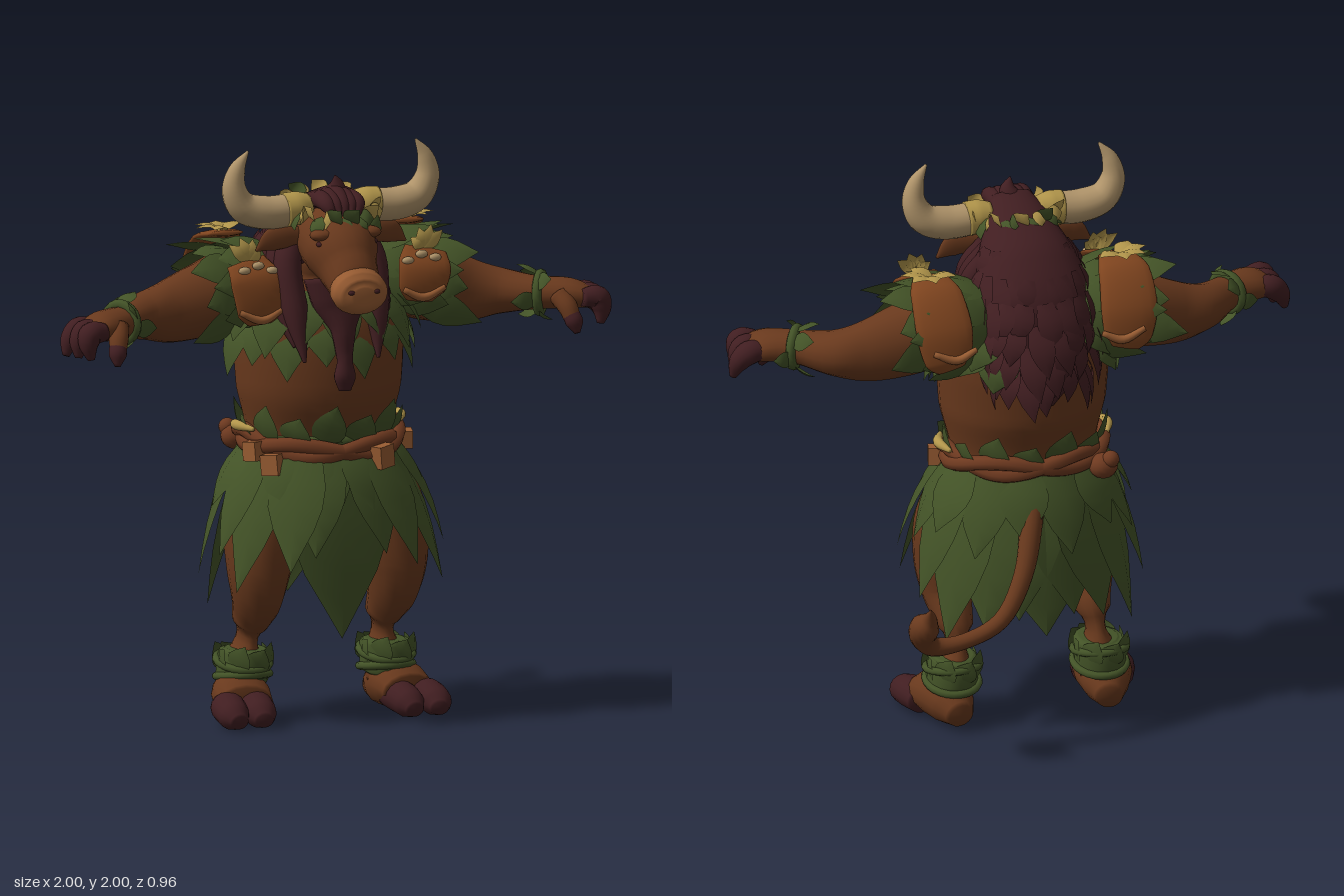
import * as THREE from 'three';
import { mergeGeometries } from 'three/addons/utils/BufferGeometryUtils.js';

const V = (x, y, z) => new THREE.Vector3(x, y, z);
const X = V(1, 0, 0), Y = V(0, 1, 0), Z = V(0, 0, 1);
const rad = THREE.MathUtils.degToRad;
const paint = (name, color, side = THREE.FrontSide) => {
  const m = new THREE.MeshStandardMaterial({ color, side });
  m.name = name;
  return m;
};

function geometry(points, index) {
  const g = new THREE.BufferGeometry().setFromPoints(points);
  g.setIndex(index);
  g.computeVertexNormals();
  return g;
}

// Smooth capped tube through [x, y, z, a, b]; a and b are the half sizes of each cross-section
function loft(pts, ref = Z, { steps = 5, sides = 16, floor = -9 } = {}) {
  const path = new THREE.CatmullRomCurve3(pts.map(p => V(p[0], p[1], p[2])));
  const size = new THREE.CatmullRomCurve3(pts.map(p => V(p[3], p[4] ?? p[3], 0)));
  const n = (pts.length - 1) * steps, out = [], index = [];
  for (let i = 0; i <= n; i++) {
    const c = path.getPoint(i / n), r = size.getPoint(i / n), t = path.getTangent(i / n);
    const s = t.clone().cross(ref).normalize(), u = t.clone().cross(s);
    for (let j = 0; j < sides; j++) {
      const k = j / sides * Math.PI * 2;
      const p = c.clone().addScaledVector(s, Math.cos(k) * r.x).addScaledVector(u, Math.sin(k) * r.y);
      p.y = Math.max(p.y, floor);
      out.push(p);
      if (i < n) {
        const a = i * sides + j, b = i * sides + (j + 1) % sides;
        index.push(a, b, a + sides, b, b + sides, a + sides);
      }
    }
  }
  out.push(path.getPoint(0), path.getPoint(1));
  for (let j = 0; j < sides; j++) {
    const k = (j + 1) % sides, e = n * sides;
    index.push(out.length - 2, k, j, out.length - 1, e + j, e + k);
  }
  return geometry(out, index);
}

// Pointed, ridged sheet from base to tip, bulging along the outward direction
function leaf(base, tip, half, outward, bulge = 0.02) {
  const d = tip.clone().sub(base), s = d.clone().cross(outward).normalize();
  const n = s.clone().cross(d).normalize(), out = [], index = [];
  [0.6, 0.85, 1, 0.95, 0.72, 0.36, 0].forEach((w, i) => {
    const t = i / 6, c = base.clone().addScaledVector(d, t).addScaledVector(n, bulge * Math.sin(t * Math.PI));
    for (const k of [-1, 0, 1]) {
      out.push(c.clone().addScaledVector(s, k * w * half).addScaledVector(n, k ? -half * w * 0.25 : 0));
    }
    if (i < 6) for (const q of [i * 3, i * 3 + 1]) index.push(q, q + 1, q + 3, q + 1, q + 4, q + 3);
  });
  return geometry(out, index);
}

// Point on a horizontal ellipse; 0 degrees is the front
const around = (deg, rx, y, rz, cz = 0.03) => V(Math.sin(rad(deg)) * rx, y, cz + Math.cos(rad(deg)) * rz);
const out = deg => V(Math.sin(rad(deg)), 0.1, Math.cos(rad(deg)));
const ball = (x, y, z, rx, ry = rx, rz = rx) =>
  new THREE.SphereGeometry(1, 16, 10).scale(rx, ry, rz).translate(x, y, z).deleteAttribute('uv');

export function createModel() {
  const fur = paint('brown fur', 0x69391d), hair = paint('dark maroon hair', 0x411e21, THREE.DoubleSide);
  const green = paint('leaf green', 0x435327, THREE.DoubleSide), horn = paint('horn tan', 0xb0946a);
  const gold = paint('gold', 0xb2964b, THREE.DoubleSide), muzzleSkin = paint('muzzle brown', 0x985c32);
  const leather = paint('leather', 0x80451f), vine = paint('vine brown', 0x6f3a20);
  const model = new THREE.Group(), body = new THREE.Group(), head = new THREE.Group();
  body.name = 'body';
  head.name = 'head';
  body.position.x = -0.02;
  head.position.x = -0.03;
  model.add(body, head);
  const add = (parent, name, mat, ...geos) => {
    const mesh = new THREE.Mesh(mergeGeometries(geos), mat);
    mesh.name = name;
    parent.add(mesh);
  };
  const both = fn => [-1, 1].flatMap(fn);

  add(body, 'torso', fur, loft([[0, 0.7, 0.03, 0.17, 0.12], [0, 0.85, 0.03, 0.25, 0.19], [0, 1, 0.03, 0.255, 0.195],
    [0, 1.15, 0.035, 0.29, 0.235], [0, 1.3, 0.03, 0.3, 0.235], [0, 1.45, 0.01, 0.29, 0.2],
    [0, 1.58, 0.02, 0.23, 0.14], [0, 1.64, 0.07, 0.1, 0.1]], Z, { sides: 28 }));

  for (const s of [-1, 1]) {
    const side = s > 0 ? 'left' : 'right';
    // Legs, hooves and ankle wraps
    add(body, side + 'Leg', fur,
      loft([[s * 0.16, 0.88, 0.04, 0.13, 0.15], [s * 0.23, 0.7, 0.09, 0.13, 0.145], [s * 0.25, 0.54, 0.11, 0.11, 0.125],
        [s * 0.25, 0.44, 0.09, 0.088, 0.105], [s * 0.245, 0.34, 0.015, 0.06, 0.08], [s * 0.255, 0.22, -0.01, 0.06, 0.08], [s * 0.27, 0.1, -0.005, 0.075, 0.085]]),
      loft([[s * 0.265, 0.06, -0.12, 0.045, 0.045], [s * 0.275, 0.08, -0.05, 0.08, 0.08], [s * 0.29, 0.09, 0.04, 0.1, 0.085], [s * 0.3, 0.075, 0.12, 0.095, 0.055]], Y, { floor: 0.01 }));
    add(body, side + 'Hoof', hair, ...[-0.045, 0.045].map(o => loft([[s * 0.305 + o, 0.055, 0.05, 0.05, 0.045],
      [s * 0.315 + o * 1.1, 0.06, 0.12, 0.06, 0.056], [s * 0.322 + o * 1.1, 0.045, 0.19, 0.054, 0.05], [s * 0.322 + o, 0.03, 0.235, 0.03, 0.025]], Y, { floor: 0 })));
    const cuff = [0, 45, 90, 135, 180, 225, 270, 315].map(a => {
      const m = V(s * 0.262, 0, -0.005);
      return leaf(around(a, 0.085, 0.18, 0.1, 0).add(m), around(a + 25, 0.095, a % 90 ? 0.265 : 0.25, 0.11, 0).add(m), 0.045, out(a), 0.01);
    });
    add(body, side + 'AnkleWrap', green, ...cuff,
      loft([[s * 0.265, 0.125, -0.01, 0.07, 0.08], [s * 0.265, 0.14, -0.008, 0.088, 0.1], [s * 0.262, 0.19, -0.005, 0.088, 0.105], [s * 0.258, 0.235, -0.003, 0.083, 0.1], [s * 0.258, 0.245, -0.003, 0.065, 0.08]]),
      ...[0.15, 0.2].map((y, i) => new THREE.TorusGeometry(0.09, 0.014, 8, 24).deleteAttribute('uv')
        .scale(1, 1.12, 1).rotateX(Math.PI / 2 + (i ? 0.2 : -0.15)).translate(s * 0.263, y, -0.006)));

    // Arms, hands and wristbands
    add(model, side + 'Arm', fur,
      loft([[s * 0.16, 1.48, -0.02, 0.12, 0.13], [s * 0.3, 1.49, -0.03, 0.135, 0.13], [s * 0.42, 1.455, -0.03, 0.13, 0.105],
        [s * 0.55, 1.425, -0.02, 0.11, 0.082], [s * 0.65, 1.42, 0.005, 0.082, 0.08], [s * 0.76, 1.42, 0.09, 0.058, 0.066],
        [s * 0.86, 1.42, 0.14, 0.052, 0.078], [s * 0.925, 1.405, 0.165, 0.037, 0.075]]),
      loft([[s * 0.81, 1.42, 0.17, 0.037], [s * 0.825, 1.385, 0.21, 0.034], [s * 0.835, 1.345, 0.23, 0.028]]));
    add(model, side + 'Fingers', hair, ...[0.105, 0.16, 0.215].map((z, i) => loft([[s * 0.875, 1.415, z, 0.03],
      [s * 0.93, 1.412, z + 0.005, 0.042], [s * (0.966 - i * 0.012), 1.378, z + 0.012, 0.035], [s * (0.985 - i * 0.025), 1.325, z + 0.02, 0.012]])),
      loft([[s * 0.83, 1.365, 0.218, 0.03], [s * 0.838, 1.34, 0.235, 0.031], [s * 0.845, 1.3, 0.25, 0.01]]));
    const axis = V(s * 0.83, 0, 0.53), across = V(-s * 0.53, 0, 0.83);
    const band = [0, 1, 2, 3, 4, 5, 6].map(i => {
      const k = i / 7 * Math.PI * 2, r = V(0, Math.cos(k), 0).addScaledVector(across, Math.sin(k));
      const c = V(s * 0.765, 1.42, 0.09).addScaledVector(r, 0.07);
      return leaf(c, c.clone().addScaledVector(axis, i % 2 ? 0.06 : -0.08).addScaledVector(r, 0.025), 0.034, r, 0.01);
    });
    add(model, side + 'Wristband', green, ...band, new THREE.TorusGeometry(0.064, 0.018, 8, 20).deleteAttribute('uv')
      .rotateY(s * 1.0).translate(s * 0.77, 1.42, 0.095));

    // Shoulder leaves in three rings from the neck to the upper arm
    const mantle = [];
    for (let ring = 0; ring < 3; ring++) for (let a = -105; a <= 105; a += 35) {
      const k = rad(a + ring * 14 - 14), r = V(0, Math.cos(k), Math.sin(k)), far = (a / 35 + ring) % 2 ? 0.05 : 0;
      const b = V(s * (0.16 + ring * 0.08), 1.49, -0.025).addScaledVector(r, 0.14);
      const tip = V(s * (0.34 + ring * 0.07 + far), 1.475 - ring * 0.015, -0.025).addScaledVector(r, 0.185 + far * 0.5);
      mantle.push(leaf(b, tip, 0.066, r, 0.015));
    }
    add(model, side + 'ShoulderLeaves', green, ...mantle);

    // Bark-like shoulder plates at front and back, with trim and golden leaves
    const drop = s < 0 ? 0.04 : 0;
    add(model, side + 'ShoulderPads', leather,
      loft([[s * 0.29, 1.44 - drop, 0.185, 0.01, 0.05], [s * 0.295, 1.48 - drop, 0.195, 0.018, 0.085], [s * 0.31, 1.55, 0.185, 0.018, 0.095], [s * 0.33, 1.61, 0.14, 0.01, 0.075]], X),
      loft([[s * 0.33, 1.68, -0.03, 0.01, 0.06], [s * 0.335, 1.655, -0.12, 0.018, 0.09], [s * 0.33, 1.55, -0.2, 0.018, 0.1], [s * 0.32, 1.45, -0.22, 0.018, 0.085], [s * 0.31, 1.41, -0.22, 0.01, 0.05]], X));
    add(model, side + 'PadTrim', muzzleSkin, ...[[1.455 - drop, 0.205], [1.45, -0.235]].map(([y, z]) =>
      loft([[s * 0.225, y + 0.03, z, 0.01], [s * 0.295, y, z + Math.sign(z) * 0.004, 0.015], [s * 0.375, y + 0.03, z, 0.01]])));
    add(model, side + 'PadStuds', horn, ...[[0.25, 1.58], [0.35, 1.585], [0.3, 1.6]].map(([x, y]) => ball(s * x, y, 0.18, 0.022, 0.014, 0.014)));
    add(model, side + 'GoldenLeaves', gold, ...[-70, -30, 10, 50].map(a => {
      const b = V(s * 0.32, 1.615, 0.15);
      return leaf(b, V(s * (0.34 + 0.07 * Math.sin(rad(a))), 1.63 + 0.065 * Math.cos(rad(a)), 0.14), 0.024, Z, 0.012);
    }), ...[-150, -90, -40, 10, 60].map(a => {
      const b = V(s * 0.34, 1.69, -0.06);
      return leaf(b, V(s * (0.34 + 0.1 * Math.cos(rad(a))), 1.7, -0.06 + 0.08 * Math.sin(rad(a))), 0.032, Y, 0.015);
    }));
  }

  // Leaf collar on the chest and upper back
  const collar = [];
  for (let a = -138; a <= 138; a += 23) for (let row = 0; row < 2; row++) {
    const k = a + row * 11.5, back = Math.abs(k) > 90, jag = (a / 23) % 2 ? 0.05 : 0;
    collar.push(leaf(around(k, 0.26, 1.5 - row * 0.07, 0.19, 0), around(k, 0.37 - row * 0.02, (back ? 1.37 : 1.28) - row * 0.08 + jag, back ? 0.25 : 0.28, 0.01), 0.075, out(k), 0.03));
  }
  add(body, 'leafCollar', green, ...collar);

  // Skirt: lining, long leaves, short overlapping leaves, upright waist leaves
  const long = [[0, 0.3, 0.36, 0.22, 0.185], [180, 0.38, 0.36, 0.28, 0.2]];
  const pairs = [[18, 0.6, 0.42, 0.32, 0.1], [32, 0.56, 0.44, 0.39, 0.1], [52, 0.48, 0.48, 0.32, 0.09], [66, 0.6, 0.45, 0.3, 0.07],
    [112, 0.5, 0.43, 0.27, 0.09], [128, 0.37, 0.42, 0.31, 0.12], [148, 0.42, 0.4, 0.3, 0.15], [165, 0.45, 0.38, 0.29, 0.15]];
  for (const p of pairs) for (const s of [-1, 1]) long.push([s * p[0], ...p.slice(1)]);
  const skirt = long.map(([a, y, rx, rz, w]) => leaf(around(a, 0.26, 0.98, 0.21), around(a, rx, y, rz), w, out(a), 0.03));
  for (let i = 0; i < 14; i++) {
    const a = i * 360 / 14 + 13;
    skirt.push(leaf(around(a, 0.265, 0.97, 0.215), around(a, 0.39, i % 2 ? 0.68 : 0.75, 0.3), 0.085, out(a), 0.02));
    skirt.push(leaf(around(a, 0.255, 0.97, 0.2), around(a + 8, 0.295, i % 2 ? 1.11 : 1.07, 0.24), 0.06, out(a), 0.015));
  }
  skirt.push(loft([[0, 0.82, 0.03, 0.29, 0.23], [0, 0.9, 0.03, 0.28, 0.22], [0, 1, 0.03, 0.26, 0.2]], Z, { sides: 28 }));
  add(body, 'leafSkirt', green, ...skirt);

  // Belt of two twisted vines, sagging at the front, with hanging pouches
  const belt = [0, Math.PI].map(phase => new THREE.TubeGeometry(new THREE.CatmullRomCurve3(
    Array.from({ length: 36 }, (_, i) => around(i * 10, 0.27 + 0.01 * Math.cos(i * 0.524 + phase),
      0.985 - 0.04 * Math.max(0, Math.cos(rad(i * 10))) + 0.022 * Math.sin(i * 0.524 + phase), 0.222)), true),
  108, 0.027, 8, true).deleteAttribute('uv'));
  add(body, 'vineBelt', vine, ...belt);
  add(body, 'pouches', muzzleSkin, ...[[-50, 0.91, 0.065], [-38, 0.82, 0.045], [-66, 0.95, 0.06], [28, 0.925, 0.07], [75, 0.95, 0.055]].map(([a, y, w]) => {
    const p = around(a, 0.305, y, 0.255);
    return new THREE.BoxGeometry(w, w * 1.1, w * 0.8).deleteAttribute('uv').rotateZ(0.1).rotateY(rad(a)).translate(p.x, p.y, p.z);
  }));
  add(body, 'beltGourd', vine, ball(-0.23, 0.95, -0.16, 0.05, 0.045, 0.045), ball(-0.25, 0.98, -0.18, 0.03));
  add(body, 'beltSprigs', gold, ...both(s => [loft([[s * 0.27, 1.02, 0.11, 0.008], [s * 0.3, 1.025, 0.03, 0.018], [s * 0.28, 1.02, -0.04, 0.008]], Y)]));

  add(body, 'tail', fur, loft([[0.02, 0.92, -0.14, 0.045], [0.05, 0.8, -0.23, 0.04], [0.1, 0.64, -0.3, 0.033], [0.19, 0.5, -0.335, 0.029], [0.32, 0.44, -0.335, 0.027],
    [0.43, 0.435, -0.335, 0.034], [0.475, 0.49, -0.365, 0.045], [0.485, 0.545, -0.41, 0.052], [0.475, 0.585, -0.435, 0.028], [0.48, 0.635, -0.47, 0.003]]));

  // Head, muzzle, ears, eyes and horns
  add(head, 'face', fur,
    loft([[0, 1.67, 0.1, 0.1, 0.1], [0, 1.68, 0.18, 0.13, 0.125], [0, 1.65, 0.265, 0.128, 0.125], [0, 1.595, 0.335, 0.1, 0.105], [0, 1.545, 0.4, 0.086, 0.08], [0, 1.53, 0.44, 0.05, 0.05]], Y, { sides: 20 }),
    ...both(s => [ball(s * 0.085, 1.715, 0.305, 0.045, 0.022, 0.035),
      loft([[s * 0.1, 1.69, 0.17, 0.025, 0.02], [s * 0.17, 1.695, 0.175, 0.042, 0.02], [s * 0.22, 1.685, 0.175, 0.04, 0.016], [s * 0.275, 1.65, 0.17, 0.004, 0.004]])]));
  add(head, 'muzzle', muzzleSkin, loft([[0, 1.565, 0.365, 0.07, 0.06], [0, 1.545, 0.4, 0.095, 0.082], [0, 1.53, 0.44, 0.1, 0.078], [0, 1.525, 0.472, 0.08, 0.058], [0, 1.525, 0.482, 0.04, 0.03]], Y, { sides: 20 }));
  add(head, 'nostrilsAndEyes', hair, ...both(s => [ball(s * 0.045, 1.54, 0.474, 0.014, 0.009, 0.01), ball(s * 0.095, 1.685, 0.318, 0.017, 0.011, 0.014)]));
  add(head, 'horns', horn, ...both(s => [loft([[s * 0.13, 1.785, 0.165, 0.056], [s * 0.24, 1.78, 0.165, 0.058], [s * 0.32, 1.805, 0.165, 0.053],
    [s * 0.355, 1.87, 0.17, 0.042], [s * 0.345, 1.94, 0.175, 0.028], [s * 0.308, 2, 0.18, 0.004]])]));
  add(head, 'hornBases', gold, ...both(s => [loft([[s * 0.08, 1.79, 0.16, 0.045], [s * 0.13, 1.787, 0.165, 0.059], [s * 0.17, 1.784, 0.165, 0.0595]])]));

  // Wreath, lower at the brow
  const wreath = [[], []];
  for (let i = 0; i < 32; i++) {
    const a = i * 360 / 32, lift = 1.785 - 0.025 * Math.cos(rad(a)), tilt = [0.04, -0.055, 0][i % 3];
    const golden = Math.abs(Math.sin(rad(a))) > 0.45 ? i % 3 !== 1 : Math.cos(rad(a)) < 0 && i % 2;
    wreath[golden ? 1 : 0].push(leaf(around(a, 0.135, lift, 0.14, 0.175), around(a + 12, 0.175, lift + tilt, 0.175, 0.175), 0.033, out(a), 0.012));
  }
  add(head, 'wreathLeaves', green, ...wreath[0]);
  add(head, 'wreathGold', gold, ...wreath[1]);

  // Mane: a full core covered with shaggy locks, side strands, forelock and beard
  const rows = [[1.8, 0.1, 0.1, 0.07], [1.74, 0.03, 0.15, 0.11], [1.67, -0.02, 0.18, 0.135], [1.6, -0.07, 0.2, 0.13], [1.53, -0.1, 0.2, 0.12], [1.45, -0.12, 0.185, 0.1], [1.38, -0.14, 0.15, 0.075]];
  const mane = [loft([[0, 1.84, 0.2, 0.07, 0.03], [0, 1.77, 0.12, 0.12, 0.075], [0, 1.66, 0.02, 0.18, 0.135], [0, 1.55, -0.07, 0.205, 0.135],
    [0, 1.43, -0.13, 0.19, 0.09], [0, 1.32, -0.175, 0.13, 0.055], [0, 1.22, -0.2, 0.03, 0.02]], Z, { sides: 24 })];
  rows.forEach(([y, z, rx, rz], i) => {
    for (let a = 90 + (i % 2) * 10; a <= 270; a += 20) {
      const wild = Math.sin(a * 7.3 + i * 4.1);
      mane.push(leaf(around(a, rx, y, rz, z), around(a + wild * 12, rx * 1.05 + 0.012, y - 0.16 - wild * 0.035, rz + 0.012 + 0.012 * wild, z - 0.03), 0.045, out(a), 0.024));
    }
  });
  mane.push(...both(s => [0, 1, 2].map(i => loft([[s * (0.11 + i * 0.01), 1.7, 0.12 - i * 0.05, 0.04], [s * (0.155 + i * 0.01), 1.6, 0.16 - i * 0.05, 0.048],
    [s * (0.15 + i * 0.02), 1.45, 0.21 - i * 0.04, 0.046], [s * (0.135 + i * 0.025), 1.27 + i * 0.05, 0.27 - i * 0.03, 0.006]]))));
  add(head, 'mane', hair, ...mane);
  add(head, 'forelock', hair, ...[-0.05, -0.025, 0, 0.025, 0.05].map((x, i) => loft([[x, 1.81, 0.14, 0.028],
    [x, 1.835 - Math.abs(x) * 0.3, 0.21, 0.032], [x * 1.1, 1.81, 0.28, 0.026], [x * 0.8, 1.765 + (i % 2) * 0.02, 0.315, 0.004]], X)),
  loft([[0, 1.82, 0.19, 0.045], [0.01, 1.86, 0.2, 0.03], [0, 1.9, 0.21, 0.003]]));
  add(head, 'beard', hair, loft([[0, 1.55, 0.23, 0.12, 0.09], [0, 1.46, 0.25, 0.095, 0.07], [0, 1.38, 0.285, 0.045, 0.04], [0, 1.3, 0.295, 0.03, 0.03], [0, 1.27, 0.3, 0.027, 0.027],
    [0, 1.22, 0.3, 0.038, 0.03], [0, 1.17, 0.3, 0.022, 0.015]]));
  return model;
}
